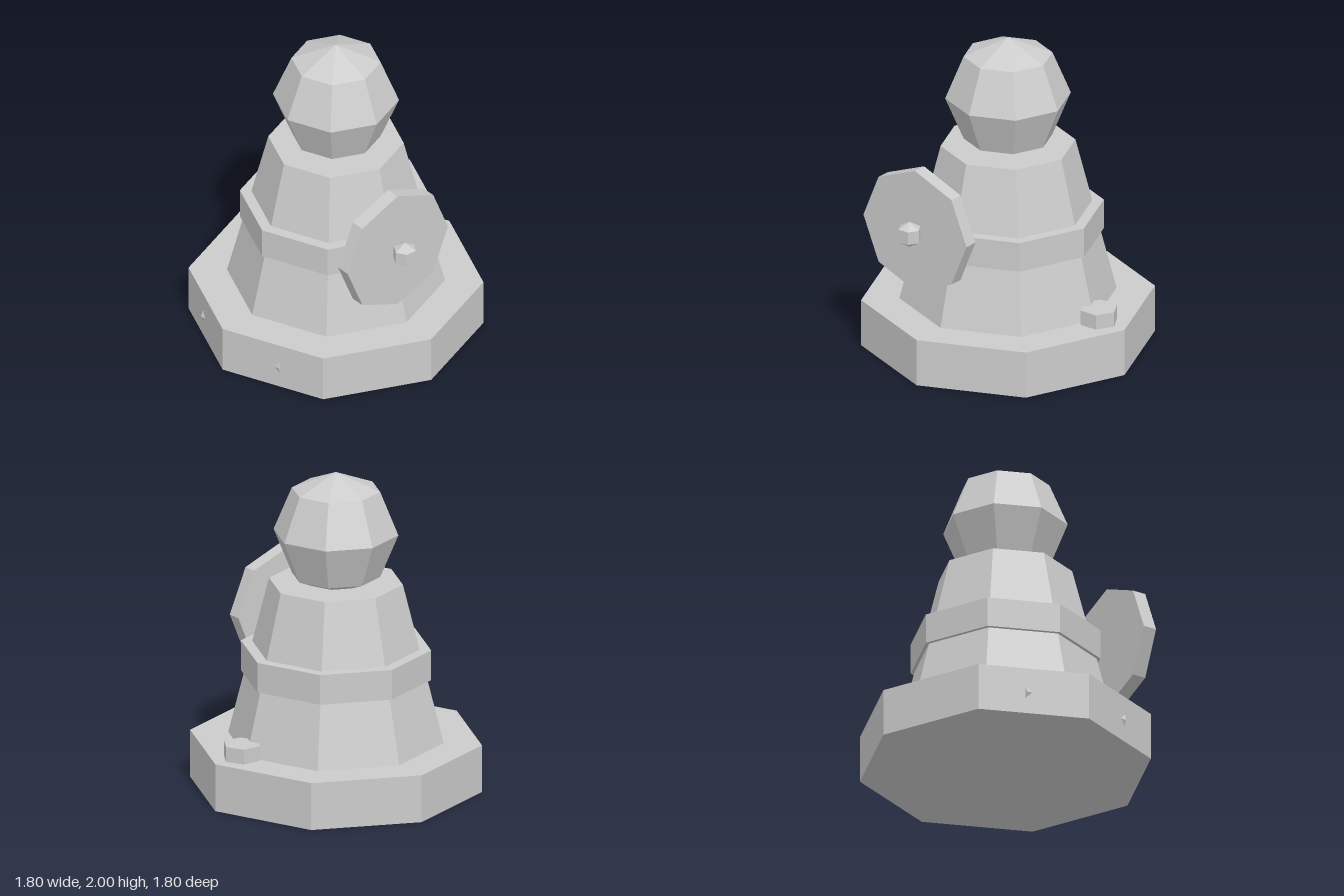
import * as THREE from 'three';

const grey = new THREE.MeshStandardMaterial({ color: 0xcccccc, flatShading: true });

export function createModel() {
  const model = new THREE.Group();

  const add = (name, geometry, x, y, z) => {
    const mesh = new THREE.Mesh(geometry, grey);
    mesh.name = name;
    mesh.position.set(x, y, z);
    model.add(mesh);
    return mesh;
  };
  // Upright prism or frustum given by its bottom and top heights
  const prism = (name, rTop, rBottom, y0, y1, sides = 8, x = 0, z = 0) =>
    add(name, new THREE.CylinderGeometry(rTop, rBottom, y1 - y0, sides), x, (y0 + y1) / 2, z);

  // Octagonal plinth, tapering body, belt and faceted head
  prism('base', 0.9, 0.9, 0, 0.3);
  prism('body', 0.413, 0.665, 0.3, 1.3);
  prism('belt', 0.587, 0.587, 0.7, 0.89);
  add('head', new THREE.SphereGeometry(0.385, 8, 4), 0, 1.615, 0);

  // Shield held at the left side, with a central boss
  const shield = add('shield', new THREE.CylinderGeometry(0.398, 0.398, 0.09, 8), 0.7, 0.937, 0.135);
  shield.rotation.z = Math.PI / 2;
  const boss = add('shieldBoss', new THREE.SphereGeometry(0.083, 6, 3), 0.805, 0.937, 0.13);
  boss.rotation.y = Math.PI / 2;

  // Small hexagonal block on the plinth behind the body
  prism('backBlock', 0.12, 0.12, 0.28, 0.395, 6, 0, -0.7);

  // Bar sunk in the plinth, its ends just breaking through the front faces
  const bar = add('footBar', new THREE.CylinderGeometry(0.12, 0.12, 0.732, 8), 0, 0.14, 0.645);
  bar.rotation.z = Math.PI / 2;

  return model;
}
